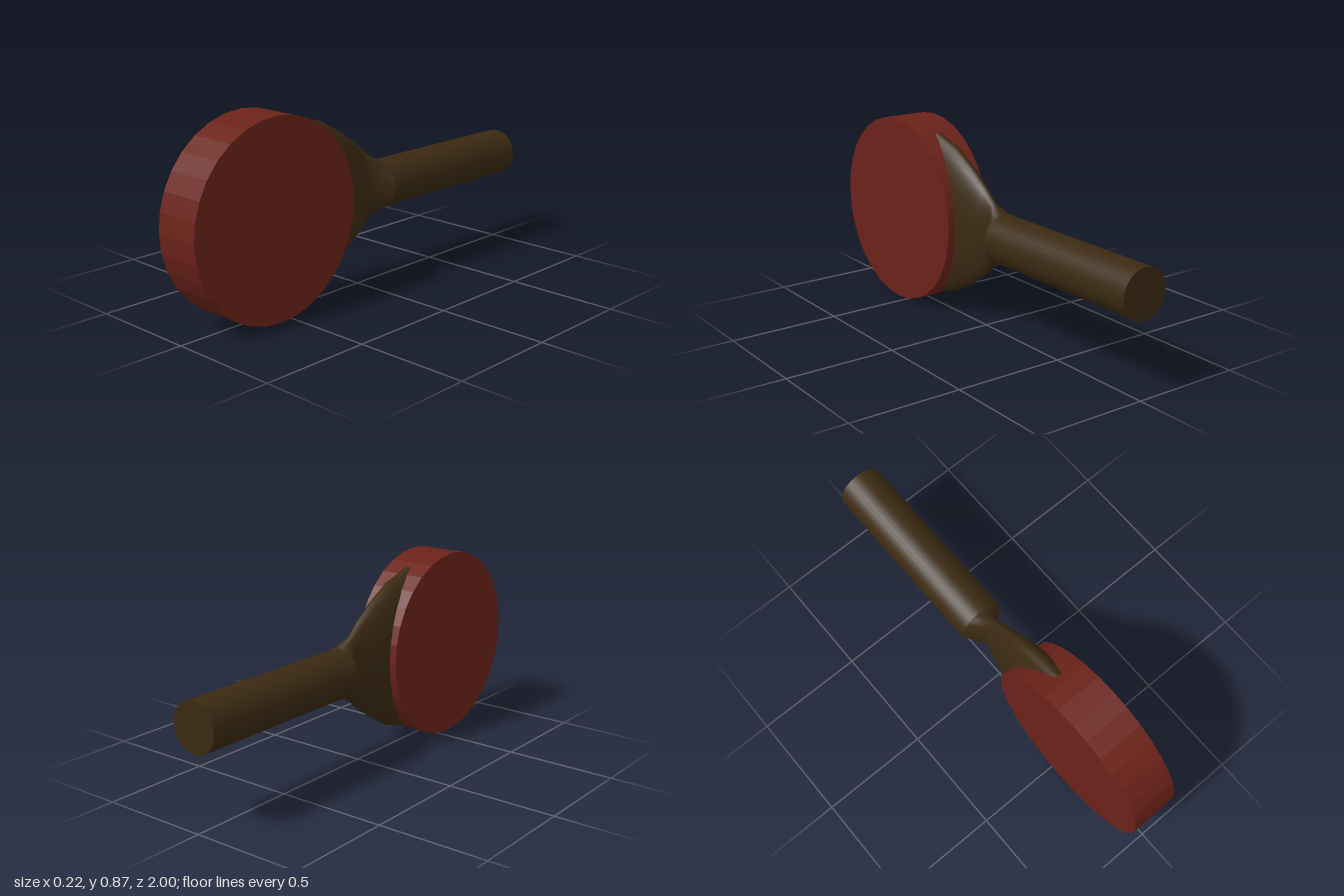
import * as THREE from 'three';
import { mergeVertices } from 'three/addons/utils/BufferGeometryUtils.js';

const SIDES = 32;

// Loft of elliptical rings along z; each section is [z, half width, half height]
function loft(sections) {
  const geo = new THREE.CylinderGeometry(1, 1, 1, SIDES, sections.length - 1, true);
  geo.rotateX(Math.PI / 2);
  const p = geo.attributes.position;
  for (let i = 0; i < p.count; i++) {
    const row = Math.round((p.getZ(i) + 0.5) * (sections.length - 1));
    const [z, w, h] = sections[row];
    p.setXYZ(i, p.getX(i) * w, p.getY(i) * h, z);
  }
  geo.deleteAttribute('uv');
  geo.deleteAttribute('normal');
  const merged = mergeVertices(geo, 1e-5);
  merged.computeVertexNormals();
  return merged;
}

export function createModel() {
  const group = new THREE.Group();
  const red = new THREE.MeshStandardMaterial({ color: 0x6b2219, flatShading: true });
  const brown = new THREE.MeshStandardMaterial({ color: 0x3b2a12 });
  const brownThin = brown.clone();
  brownThin.side = THREE.DoubleSide;

  const add = (name, geo, mat, y, z) => {
    const mesh = new THREE.Mesh(geo, mat);
    mesh.name = name;
    mesh.position.set(0, y, z);
    group.add(mesh);
  };

  // Round head, a thick disc facing sideways
  const disc = new THREE.CylinderGeometry(0.433, 0.433, 0.215, SIDES);
  disc.rotateZ(Math.PI / 2);
  add('head', disc, red, 0.433, 0.567);

  // Straight round handle
  const rod = new THREE.CylinderGeometry(0.108, 0.108, 0.87, SIDES);
  rod.rotateX(Math.PI / 2);
  add('handle', rod, brown, 0.437, -0.565);

  // Neck: pinched beside the handle, then fanning out flat into the head
  add('neck', loft([
    [-0.13, 0.108, 0.108],
    [-0.06, 0.036, 0.147],
    [0.0, 0.052, 0.2],
    [0.1, 0.072, 0.27],
    [0.22, 0.088, 0.338],
    [0.37, 0.095, 0.384],
  ]), brownThin, 0.437, 0);

  return group;
}
